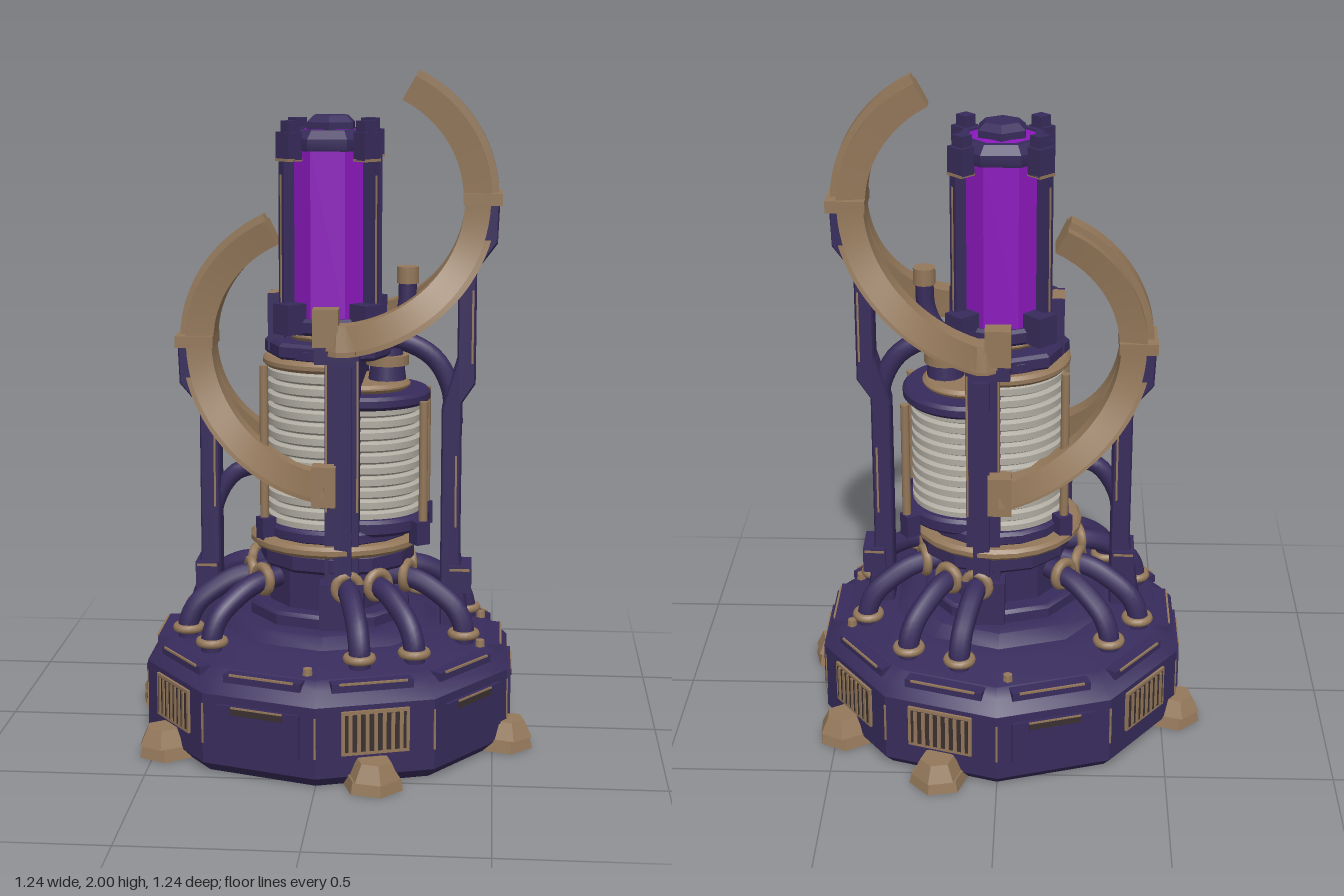
import * as THREE from 'three';
import { toCreasedNormals } from 'three/addons/utils/BufferGeometryUtils.js';

const paint = (name, color) => Object.assign(new THREE.MeshStandardMaterial({ color }), { name });
const rad = THREE.MathUtils.degToRad;

// Ridged bar swept round an arc in the XY plane; zAt and wAt give offset and half width per angle
function sweepArc(cx, cy, R, a0, a1, h, zAt, wAt, steps = 18) {
  const pos = [], idx = [], n = 8;
  for (let i = 0; i <= steps; i++) {
    const a = rad(a0 + (a1 - a0) * i / steps), w = wAt(a), z = zAt(a);
    const sy = Math.sin(a) * (Math.sin(a) > 0 ? .94 : 1); // upper half slightly flatter
    const section = [[-h, -w * .75], [h * .6, -w], [h * .6, -w * .45], [h, -w * .45],
      [h, w * .45], [h * .6, w * .45], [h * .6, w], [-h, w * .75], [0, 0]];
    for (const [u, v] of section) pos.push(cx + (R + u) * Math.cos(a), cy + (R + u) * sy, z + v);
  }
  for (let j = 0; j < n; j++) {
    const k = (j + 1) % n, e = steps * 9;
    for (let i = 0; i < steps; i++) {
      const p = i * 9, q = p + 9;
      idx.push(q + j, q + k, p + k, q + j, p + k, p + j);
    }
    idx.push(8, j, k, e + 8, e + k, e + j);
  }
  const g = new THREE.BufferGeometry();
  g.setAttribute('position', new THREE.Float32BufferAttribute(pos, 3));
  g.setIndex(idx);
  return toCreasedNormals(g, .5);
}

export function createModel() {
  const model = new THREE.Group();
  model.name = 'energyTower';
  const dark = paint('darkPurpleMetal', 0x382c5c), tan = paint('bronze', 0x94785a);
  const grey = paint('coilGrey', 0xb0aca2), glow = paint('violetGlass', 0x8c18bd);
  const black = paint('ventShadow', 0x3a2f30);

  const add = (name, geo, mat, p = [0, 0, 0], ry = 0) => {
    const m = new THREE.Mesh(geo, mat);
    m.name = name;
    m.position.set(...p);
    m.rotation.y = ry;
    model.add(m);
    return m;
  };
  const box = (name, mat, s, p, ry) => add(name, new THREE.BoxGeometry(...s), mat, p, ry);
  const lathe = (name, mat, pts, seg, p, start = 0, len = Math.PI * 2, crease = .5) =>
    add(name, toCreasedNormals(new THREE.LatheGeometry(pts.map(q => new THREE.Vector2(...q)), seg, start, len), crease), mat, p);
  const drum = (name, mat, r, y0, y1, seg, p = [0, 0, 0], start = 0, len = Math.PI * 2) =>
    lathe(name, mat, [[0, y0], [r - .01, y0], [r, y0 + .01], [r, y1 - .01], [r - .01, y1], [0, y1]], seg, p, start, len);
  const polar = (deg, r, y) => [r * Math.sin(rad(deg)), y, r * Math.cos(rad(deg))];
  const tube = (name, mat, pts, r) => add(name, new THREE.TubeGeometry(
    new THREE.CatmullRomCurve3(pts.map(p => new THREE.Vector3(...p))), 18, r, 10), mat);

  // Ten-sided base
  lathe('base', dark, [[0, 0], [.54, 0], [.57, .03], [.57, .24], [.53, .28], [.5, .3], [.46, .305],
    [.4, .33], [.34, .335], [.3, .365], [.27, .37], [0, .37]], 10);
  const vents = [18, 126, 162, -54, -126];
  for (let i = 0; i < 10; i++) {
    const deg = 18 + i * 36, ry = rad(deg), a = deg > 180 ? deg - 360 : deg;
    box('rimPlate', dark, [.24, .025, .05], polar(deg, .495, .285), ry);
    box('rimWear', tan, [.2, .006, .006], polar(deg, .522, .297), ry);
    box('cornerWear', tan, [.006, .12, .006], polar(deg + 18, .569, .15), rad(deg + 18));
    if (vents.includes(a)) {
      box('ventFrame', tan, [.2, .13, .012], polar(deg, .544, .16), ry);
      box('ventRecess', black, [.18, .11, .008], polar(deg, .548, .16), ry);
      for (let k = -3; k <= 3; k++) {
        const c = polar(deg, .55, .16);
        box('ventSlat', tan, [.011, .11, .01],
          [c[0] + Math.cos(ry) * k * .025, .16, c[2] - Math.sin(ry) * k * .025], ry);
      }
    } else {
      box('sidePanel', dark, [.26, .13, .02], polar(deg, .543, .15), ry);
      box('panelSlot', black, [.16, .02, .006], polar(deg, .553, .2), ry);
      box('panelTrim', tan, [.16, .005, .006], polar(deg, .554, .212), ry);
    }
  }
  // Feet
  for (const deg of [162, 123, 73, 17, -56, -107]) {
    add('foot', toCreasedNormals(new THREE.CylinderGeometry(.05, .075, .05, 6), .4), tan, polar(deg, .572, .06), rad(deg));
    add('footPad', toCreasedNormals(new THREE.CylinderGeometry(.08, .088, .036, 6), .4), tan, polar(deg, .56, .018), rad(deg));
  }
  for (const [x, z] of [[-.03, .46], [-.03, -.46], [.46, .15], [.46, -.15]])
    add('deckBolt', new THREE.CylinderGeometry(.014, .016, .02, 6), tan, [x, .312, z]);

  // Lower core
  drum('coreFoot', dark, .25, .36, .41, 10);
  drum('core', dark, .19, .4, .56, 10);
  drum('coreFlange', dark, .235, .53, .59, 12, [.02, 0, 0]);
  drum('coreRing', tan, .26, .588, .622, 24, [.015, 0, 0]);
  drum('coilSeat', dark, .225, .615, .66, 16, [.02, 0, 0]);

  // Cables with ports at both ends
  for (const s of [1, -1]) {
    for (const [x, z] of [[.115, .405], [.27, .34], [.41, .14], [-.33, .28], [-.42, .14]]) {
      const at = (k, y) => [x * k, y, z * s * k];
      tube('cable', dark, [at(1, .31), at(1, .355), at(.94, .41), at(.81, .455), at(.66, .487), at(.45, .5)], .032);
      const ring = add('cablePort', new THREE.TorusGeometry(.036, .013, 8, 18), tan, at(1, .338));
      ring.rotation.x = Math.PI / 2;
      const k = .25 / Math.hypot(x, z);
      add('coreSocket', new THREE.TorusGeometry(.037, .015, 8, 18), tan, at(k, .498), Math.atan2(x, z * s));
    }
  }

  // Ribbed coils, a tall half on one side and a short half on the other
  const coil = (name, x, r, y0, y1, n, start) => {
    const pts = [];
    for (let i = 0; i < n; i++) {
      const y = y0 + (y1 - y0) * i / n, d = (y1 - y0) / n;
      pts.push([r - .013, y], [r, y + d * .2], [r, y + d * .75], [r - .013, y + d * .95]);
    }
    lathe(name, grey, pts, 32, [x, 0, 0], start, Math.PI, .4);
  };
  coil('tallCoil', .01, .2, .65, 1.13, 13, Math.PI);
  coil('shortCoil', .1, .175, .68, 1.03, 10, 0);
  drum('tallCoilCap', tan, .215, 1.13, 1.162, 32, [.01, 0, 0], Math.PI, Math.PI);
  drum('tallCoilLid', dark, .19, 1.155, 1.2, 24, [.01, 0, 0], Math.PI, Math.PI);
  drum('shortCoilBase', dark, .2, .64, .69, 24, [.1, 0, 0], 0, Math.PI);
  drum('shortCoilCap', dark, .2, 1.02, 1.06, 24, [.1, 0, 0], 0, Math.PI);
  drum('shortCoilTrim', tan, .14, 1.06, 1.085, 24, [.1, 0, 0], 0, Math.PI);
  add('shortCoilStem', new THREE.CylinderGeometry(.045, .06, .12, 12), dark, [.17, 1.12, 0]);
  add('stemRing', new THREE.CylinderGeometry(.065, .065, .03, 16), tan, [.17, 1.145, 0]);
  box('divider', dark, [.09, .84, .38], [.055, .78, 0]);
  for (const s of [1, -1]) {
    for (const [x, z, y0, y1] of [[-.19, .12, .63, 1.14], [.285, .13, .66, 1.04]])
      add('coilRod', new THREE.CylinderGeometry(.013, .013, y1 - y0, 8), tan, [x, (y0 + y1) / 2, z * s]);
    for (const [x, z] of [[-.185, .12], [.275, .13]])
      box('rodClamp', dark, [.045, .07, .045], [x, .645, z * s], .6);
    // Column with bronze edge strips and horn mounts
    box('column', dark, [.1, .85, .055], [.05, .78, s * .205]);
    box('columnRib', dark, [.05, .8, .03], [.055, .76, s * .238]);
    box('columnBase', dark, [.13, .16, .08], [.05, .43, s * .215]);
    box('columnHead', dark, [.12, .09, .08], [.03, 1.21, s * .205]);
    for (const x of [.004, .096]) box('columnEdge', tan, [.006, .45, .006], [x, .95, s * .232]);
    box('lowHornMount', tan, [.07, .12, .06], [0, .81, s * .252]);
    box('highHornMount', tan, [.075, .11, .06], [.005, 1.275, s * .245]);
  }

  // Platform below the glass
  drum('platform', dark, .2, 1.16, 1.21, 8);
  drum('platformRing', tan, .13, 1.21, 1.235, 16);
  drum('glassSeat', dark, .155, 1.23, 1.28, 8);
  box('sideBracket', dark, [.05, .17, .1], [-.16, 1.26, 0]);
  box('sideBracketTrim', tan, [.052, .01, .08], [-.16, 1.34, 0]);
  tube('rearPipe', dark, [[.15, 1.2, 0], [.2, 1.24, 0], [.225, 1.3, 0], [.23, 1.38, 0]], .028);
  add('pipeCap', new THREE.CylinderGeometry(.034, .034, .05, 10), tan, [.23, 1.4, 0]);

  // Glass chamber, corner posts and an open cap showing a glass rim round the knob
  lathe('glassChamber', glow, [[.132, 1.27], [.132, 1.775], [.103, 1.79], [.103, 1.825], [0, 1.84]], 8).rotation.y = Math.PI / 8;
  for (let i = 0; i < 4; i++) {
    const deg = 45 + i * 90, ry = rad(deg), postDeg = [56, 124, 236, 304][i];
    box('glassPost', dark, [.032, .54, .035], polar(postDeg, .15, 1.52), rad(postDeg));
    box('postWear', tan, [.006, .4, .004], polar(postDeg, .168, 1.5), rad(postDeg));
    box('postFoot', dark, [.07, .09, .07], polar(deg, .16, 1.28), ry);
    box('postClamp', dark, [.06, .08, .05], polar(deg, .16, 1.785), ry);
    box('clampTop', dark, [.04, .045, .04], polar(deg, .155, 1.835), ry);
    box('clampTrim', tan, [.06, .008, .054], polar(deg, .16, 1.745), ry);
  }
  lathe('capFrame', dark, [[.13, 1.77], [.147, 1.77], [.15, 1.778], [.15, 1.805], [.125, 1.83], [.104, 1.83], [.104, 1.79]], 8)
    .rotation.y = Math.PI / 8;
  lathe('capKnob', dark, [[.078, 1.82], [.078, 1.85], [.055, 1.87], [0, 1.87]], 6);

  // Horns: a single tapered hook above the collar, splitting into two arms below
  const horn = (name, cx, cy, hook, arms, tipWidth, rootWidth) => {
    const taper = a => tipWidth + (rootWidth - tipWidth) * Math.abs(Math.cos(a));
    add(name + 'Hook', sweepArc(cx, cy, .395, ...hook, .052, () => 0, taper), tan);
    for (const s of [1, -1])
      add(name + 'Arm', sweepArc(cx, cy, .395, ...arms, .047,
        a => s * (.032 + .215 * (1 - Math.abs(Math.cos(a))) ** 1.15), () => .045, 24), tan);
    box(name + 'Collar', tan, [.115, .035, .155], [cx + Math.sign(cx - .02) * .4, cy, 0]);
  };
  horn('lowHorn', -.005, 1.2, [116, 182], [178, 271], .066, .075);
  horn('highHorn', .05, 1.63, [-2, 62], [-96, 2], .015, .068);

  // Struts carrying the horns
  const strut = (name, pts) => {
    const g = new THREE.ExtrudeGeometry(new THREE.Shape(pts.map(p => new THREE.Vector2(...p))),
      { depth: .07, bevelEnabled: true, bevelSize: .005, bevelThickness: .01, bevelSegments: 1 });
    add(name, g, dark, [0, 0, -.035]);
  };
  strut('highStrut', [[.42, .31], [.39, .55], [.39, 1.02], [.43, 1.08], [.43, 1.42], [.49, 1.5], [.495, 1.62],
    [.43, 1.62], [.43, 1.52], [.385, 1.42], [.385, 1.15], [.34, 1], [.34, .31]]);
  strut('lowStrut', [[-.43, .31], [-.39, .55], [-.39, 1], [-.45, 1.07], [-.455, 1.19], [-.38, 1.19], [-.38, 1.08],
    [-.34, 1], [-.34, .31]]);
  box('highYoke', dark, [.06, .1, .12], [.463, 1.56, 0]);
  box('lowYoke', dark, [.06, .09, .12], [-.418, 1.135, 0]);
  for (const [x, y] of [[.395, .48], [-.375, .48]]) {
    box('strutShoe', dark, [.07, .08, .12], [x, y, 0]);
    box('strutShoeTrim', tan, [.06, .008, .122], [x, y + .03, 0]);
  }
  for (const s of [1, -1]) for (const [x, y] of [[.41, 1.25], [-.365, .8], [.365, .75]])
    box('strutWear', tan, [.006, .22, .006], [x + .015, y, s * .043]);
  tube('highBrace', dark, [[.37, .95, 0], [.36, 1.06, 0], [.31, 1.15, 0], [.22, 1.2, 0], [.1, 1.21, 0]], .03);
  tube('lowBrace', dark, [[-.365, .58, 0], [-.35, .7, 0], [-.29, .79, 0], [-.18, .82, 0]], .027);
  return model;
}
